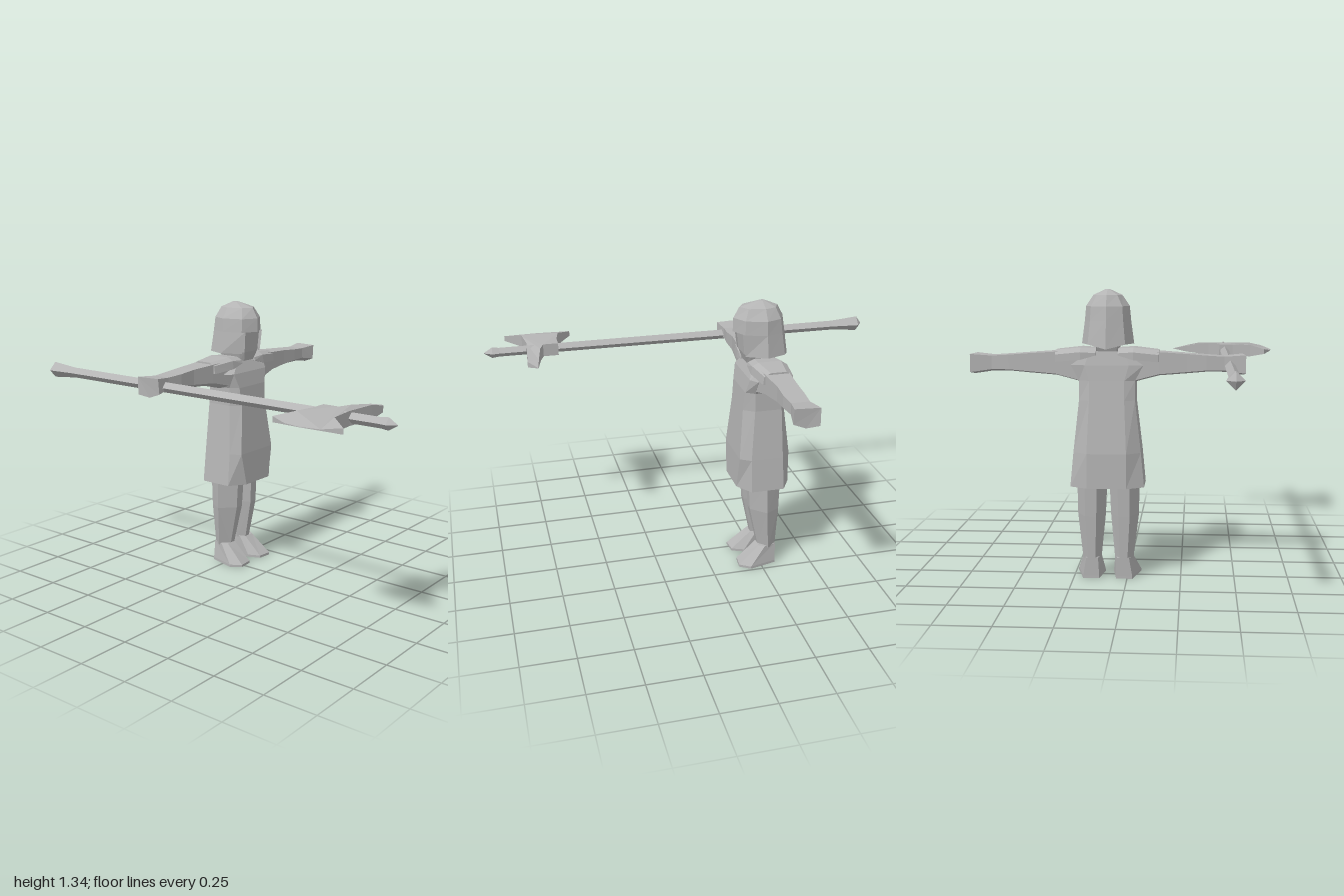
import * as THREE from 'three';

const CX = 0.09, CZ = -0.26; // axis of the figure

// Faceted solid skinned over equal-sized rings of [x, y, z], capped at both ends
function loft(rings, { open = false } = {}) {
  const n = rings[0].length, tris = [];
  for (let r = 0; r < rings.length - 1; r++) {
    for (let i = 0; i < (open ? n - 1 : n); i++) {
      const j = (i + 1) % n, [a, b, c, d] = [rings[r][i], rings[r][j], rings[r + 1][j], rings[r + 1][i]];
      tris.push([a, b, c], [a, c, d]);
    }
  }
  if (!open) {
    const first = rings[0], last = rings[rings.length - 1];
    for (let i = 1; i < n - 1; i++) {
      tris.push([first[0], first[i + 1], first[i]], [last[0], last[i], last[i + 1]]);
    }
  }
  // Turn the faces outwards whichever way the rings run
  let volume = 0;
  for (const [a, b, c] of tris) {
    volume += new THREE.Vector3(...a).dot(new THREE.Vector3(...b).cross(new THREE.Vector3(...c)));
  }
  if (volume < 0) tris.forEach((t) => t.reverse());
  const g = new THREE.BufferGeometry();
  g.setAttribute('position', new THREE.Float32BufferAttribute(tris.flat(2), 3));
  g.computeVertexNormals();
  return g;
}

// Eight-sided horizontal section: front half width, side half width, back half width, four depths
const section = ([y, f, s, b, zf, zsf, zsb, zb]) => [
  [CX - f, y, zf], [CX + f, y, zf], [CX + s, y, zsf], [CX + s, y, zsb],
  [CX + b, y, zb], [CX - b, y, zb], [CX - s, y, zsb], [CX - s, y, zsf],
];

export function createModel() {
  const model = new THREE.Group();
  const grey = new THREE.MeshStandardMaterial({ color: 0xb4b4b4, side: THREE.DoubleSide });
  grey.name = 'plain grey';
  const add = (name, geometry) => {
    const mesh = new THREE.Mesh(geometry, grey);
    mesh.name = name;
    model.add(mesh);
    return mesh;
  };

  // Tunic, from hem to collar
  add('tunic', loft([
    [0.44, 0.09, 0.17, 0.09, -0.125, -0.18, -0.34, -0.385],
    [0.6, 0.122, 0.155, 0.09, -0.13, -0.18, -0.335, -0.385],
    [0.84, 0.092, 0.128, 0.08, -0.15, -0.2, -0.33, -0.355],
    [0.93, 0.1, 0.128, 0.08, -0.158, -0.2, -0.325, -0.345],
    [1.0, 0.125, 0.165, 0.1, -0.172, -0.2, -0.325, -0.338],
    [1.06, 0.06, 0.15, 0.08, -0.2, -0.22, -0.31, -0.325],
  ].map(section)));

  // Head with a narrow chin
  add('head', loft([
    [1.055, 0.035, 0.045, 0.04, -0.18, -0.2, -0.28, -0.31],
    [1.1, 0.05, 0.06, 0.05, -0.165, -0.19, -0.3, -0.33],
    [1.21, 0.055, 0.07, 0.06, -0.155, -0.18, -0.3, -0.34],
  ].map(section)));

  // Hood crown: eight-sided dome with a pointed brow
  const hoodRing = (y, rx, zFront, zBack) => Array.from({ length: 8 }, (_, i) => {
    const a = (i * Math.PI) / 4, c = Math.cos(a);
    return [CX + Math.sin(a) * rx, y, CZ + c * (c > 0 ? zFront - CZ : CZ - zBack)];
  });
  add('hoodCrown', loft([
    hoodRing(1.2, 0.106, -0.122, -0.372),
    hoodRing(1.265, 0.1, -0.124, -0.362),
    hoodRing(1.315, 0.066, -0.152, -0.335),
    hoodRing(1.34, 0.012, -0.245, -0.275),
  ]));

  // Hood drape around the sides and back, leaving the face open
  const drapeRing = (y, rx, zBack, zEdge, dip) => {
    const side = hoodRing(y, rx, -0.14, zBack).slice(2, 7);
    side[2][1] -= dip;
    return [[CX + 0.07, y, zEdge], ...side, [CX - 0.07, y, zEdge]];
  };
  add('hoodDrape', loft([
    drapeRing(1.095, 0.12, -0.39, -0.165, 0.02),
    drapeRing(1.2, 0.106, -0.372, -0.15, 0),
  ], { open: true }));

  for (const [side, s] of [['left', 1], ['right', -1]]) {
    const X = (x) => CX + s * x;

    // Arm: five-sided sections along x as [offset, bottom, top, back, front]
    add(side + 'Arm', loft([
      [0.1, 0.91, 1.06, -0.325, -0.19],
      [0.14, 0.925, 1.065, -0.325, -0.2],
      [0.235, 0.95, 1.06, -0.325, -0.21],
      [0.36, 0.96, 1.052, -0.32, -0.225],
      [0.45, 0.968, 1.045, -0.32, -0.222],
      [0.53, 0.968, 1.04, -0.315, -0.23],
      [0.615, 0.955, 1.048, -0.33, -0.215],
    ].map(([x, b, t, zb, zf], i) => {
      const slant = i === 6 ? 0.012 : 0;
      return [
        [X(x + slant), t, zb], [X(x), t, zf], [X(x - slant / 2), b + 0.02, zf],
        [X(x), b, -0.27], [X(x + slant), b + 0.01, zb],
      ];
    })));

    // Shoulder mantle draped over the top of the arm
    add(side + 'Mantle', loft([
      [0.05, 1.045, 1.075, -0.34, -0.178],
      [0.12, 1.025, 1.08, -0.352, -0.178],
      [0.235, 1.015, 1.068, -0.34, -0.2],
    ].map(([x, b, t, zb, zf]) => [
      [X(x), b, zf], [X(x), t - 0.015, zf - 0.005], [X(x), t, zf - 0.035],
      [X(x), t, zb + 0.03], [X(x), t - 0.02, zb], [X(x), b, zb],
    ])));

    // Leg: six-sided, tapering to the ankle; inner and outer offsets from the body axis
    add(side + 'Leg', loft([
      [0.09, 0.032, 0.118, -0.245, -0.328],
      [0.3, 0.012, 0.143, -0.2, -0.338],
      [0.46, 0.005, 0.146, -0.19, -0.342],
    ].map(([y, i, o, zf, zb]) => {
      const m = (zf + zb) / 2, w = o - i;
      return [
        [X(i + w * 0.18), y, zf], [X(i + w * 0.5), y, zf], [X(o), y, m],
        [X(i + w * 0.7), y, zb], [X(i + w * 0.3), y, zb], [X(i), y, m],
      ];
    })));

    // Foot: flares from the ankle to a blunt toe
    add(side + 'Foot', loft([
      [[0.02, -0.205], [0.045, -0.145], [0.115, -0.138], [0.15, -0.19], [0.115, -0.325], [0.04, -0.325]]
        .map(([x, z]) => [X(x), 0, z]),
      [[0.02, -0.205], [0.045, -0.145], [0.115, -0.138], [0.15, -0.19], [0.115, -0.325], [0.04, -0.325]]
        .map(([x, z]) => [X(x), 0.012, z]),
      [[0.032, -0.27], [0.045, -0.242], [0.1, -0.242], [0.118, -0.27], [0.1, -0.328], [0.045, -0.328]]
        .map(([x, z]) => [X(x), 0.1, z]),
    ]));
  }

  // Axe shaft: diamond section with a flared butt and pointed tip, as [z, radius]
  const axeX = -0.467;
  add('axeShaft', loft([
    [-1.0, 0.003], [-0.975, 0.038], [-0.83, 0.025], [0.92, 0.023], [0.955, 0.027], [0.995, 0.002],
  ].map(([z, r]) => [[axeX + r, 1, z], [axeX, 1 + r, z], [axeX - r, 1, z], [axeX, 1 - r, z]])));

  // Axe head: flat outline with a broad edge and a curved spike
  const outline = [
    [-0.44, 0.63], [-0.51, 0.63], [-0.605, 0.613], [-0.675, 0.545], [-0.71, 0.63], [-0.72, 0.71],
    [-0.71, 0.8], [-0.675, 0.88], [-0.61, 0.797], [-0.48, 0.783], [-0.33, 0.795], [-0.25, 0.8],
    [-0.185, 0.755], [-0.26, 0.745], [-0.38, 0.725], [-0.44, 0.705],
  ];
  const head = new THREE.ExtrudeGeometry(
    new THREE.Shape(outline.map(([x, z]) => new THREE.Vector2(x, -z))),
    { depth: 1, bevelEnabled: false },
  );
  head.rotateX(-Math.PI / 2);
  // Thin the head towards the cutting edge and the spike
  const p = head.attributes.position;
  for (let i = 0; i < p.count; i++) {
    const x = p.getX(i);
    const half = 0.031 * Math.max(0.03, Math.min(1, (x + 0.72) / 0.11, (-0.185 - x) / 0.14));
    p.setY(i, p.getY(i) > 0.5 ? 1 + half : 1 - half);
  }
  head.computeVertexNormals();
  add('axeHead', head);

  return model;
}
